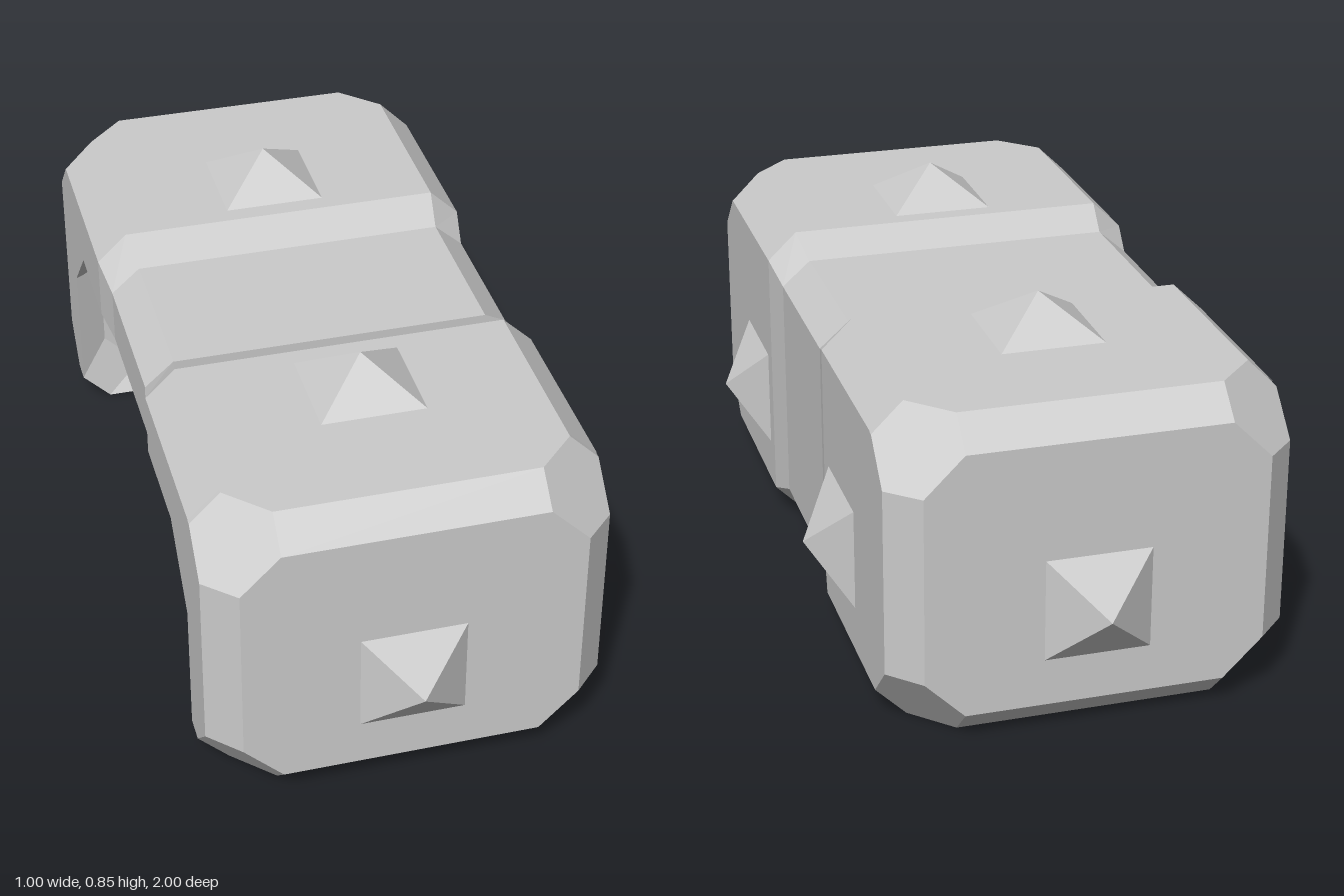
import * as THREE from 'three';

const CX = -0.045, CY = 0.378; // centre of the shell's cross-section
const mat = new THREE.MeshStandardMaterial({ color: 0xcccccc, flatShading: true });
const smooth = new THREE.MeshStandardMaterial({ color: 0xcccccc });

// Chamfered rectangle, counter-clockwise seen from +z
function octagon(x0, x1, y0, y1, c, z) {
  return [[x1 - c, y0], [x1, y0 + c], [x1, y1 - c], [x1 - c, y1],
    [x0 + c, y1], [x0, y1 - c], [x0, y0 + c], [x0 + c, y0]].map(([x, y]) => [x, y, z]);
}

// Skin between equal-length rings, with optional flat end caps
function loft(rings, caps) {
  const p = [];
  const tri = (a, b, c) => p.push(...a, ...b, ...c);
  const n = rings[0].length;
  for (let i = 0; i < rings.length - 1; i++) {
    for (let j = 0; j < n; j++) {
      const k = (j + 1) % n;
      const a = rings[i][j], b = rings[i][k], c = rings[i + 1][k], d = rings[i + 1][j];
      tri(a, b, c);
      tri(a, c, d);
    }
  }
  if (caps) {
    const s = rings[0], e = rings[rings.length - 1];
    for (let j = 1; j < n - 1; j++) {
      tri(s[0], s[j + 1], s[j]);
      tri(e[0], e[j], e[j + 1]);
    }
  }
  const g = new THREE.BufferGeometry();
  g.setAttribute('position', new THREE.Float32BufferAttribute(p, 3));
  g.computeVertexNormals();
  return g;
}

// L-shaped section: outer side wall plus roof; t thickens it inwards, s pinches the waist
function shellSection(z, s, t) {
  return [[0.34, 0], [0.41, 0.07], [0.41, 0.69], [0.34, 0.757], [-0.43, 0.757], [-0.5, 0.69],
    [-0.5, 0.54 - t], [-0.43, 0.58 - t], [0.1 - t, 0.58 - t], [0.23 - t, 0.45 - t],
    [0.23 - t, 0.07], [0.19 - t, 0]]
    .map(([x, y]) => [CX + (x - CX) * (s < 1 ? 0.965 : 1), CY + (y - CY) * s, z]);
}

export function createModel() {
  const group = new THREE.Group();
  const add = (name, geo, m = mat) => {
    const mesh = new THREE.Mesh(geo, m);
    mesh.name = name;
    group.add(mesh);
    return mesh;
  };

  // Side wall and roof with the pinched waist and chamfered inner corners
  const profile = [[0.2, 0.885, 0], [0.29, 1, 0], [0.54, 1, 0], [0.7, 1, 0.16], [0.74, 1, 0.16]];
  const stations = [...profile.map(([z, s, t]) => [-z, s, t]).reverse(), ...profile];
  add('shell', loft(stations.map((a) => shellSection(...a)), false));

  // Solid end walls with chamfered edges and a shallow inner lip
  const end = [
    octagon(-0.43, 0.34, 0.07, 0.69, 0.09, 0.73),
    octagon(-0.5, 0.41, 0, 0.757, 0.07, 0.69),
    octagon(-0.5, 0.41, 0, 0.757, 0.07, 0.75),
    octagon(-0.5, 0.41, 0, 0.757, 0.16, 0.84),
    octagon(-0.43, 0.34, 0.07, 0.69, 0.09, 0.91),
  ];
  add('frontWall', loft(end, true));
  add('backWall', loft(end.map((r) => r.map(([x, y, z]) => [x, y, -z])).reverse(), true));

  // Pyramid studs, each pointing along its wall's normal
  const stud = new THREE.ConeGeometry(0.12 * Math.SQRT2, 0.09, 4).toNonIndexed();
  stud.rotateY(Math.PI / 4).translate(0, 0.045, 0);
  const up = new THREE.Vector3(0, 1, 0);
  const addStud = (name, pos, dir) => {
    const m = add(name, stud);
    m.position.set(...pos);
    m.quaternion.setFromUnitVectors(up, new THREE.Vector3(...dir));
  };
  for (const s of [1, -1]) {
    addStud('endStud', [-0.047, 0.3, 0.91 * s], [0, 0, s]);
    addStud('topStud', [-0.047, 0.757, 0.455 * s], [0, 1, 0]);
    addStud('sideStud', [0.41, 0.3, 0.455 * s], [1, 0, 0]);
  }

  // Grip bar with flared ends, running from the side wall to the end plate
  const gripProfile = [[0.18, -0.26], [0.16, -0.19], [0.125, -0.12], [0.11, -0.03],
    [0.115, 0.08], [0.13, 0.17], [0.16, 0.24], [0.17, 0.28]].map(([r, y]) => new THREE.Vector2(r, y));
  const grip = add('grip', new THREE.LatheGeometry(gripProfile, 24), smooth);
  grip.rotation.z = Math.PI / 2;
  grip.position.set(0, 0.25, 0);

  // Chamfered plate closing the free end of the grip
  const plate = (inset, z) => octagon(-0.21 + inset, 0.21 - inset, -0.195 + inset, 0.195 - inset, 0.075, z);
  const plateMesh = add('gripPlate', loft([plate(0.02, -0.06), plate(0, -0.04),
    plate(0, 0.04), plate(0.02, 0.06)], true));
  plateMesh.rotation.y = Math.PI / 2;
  plateMesh.position.set(-0.325, 0.255, 0);

  return group;
}
